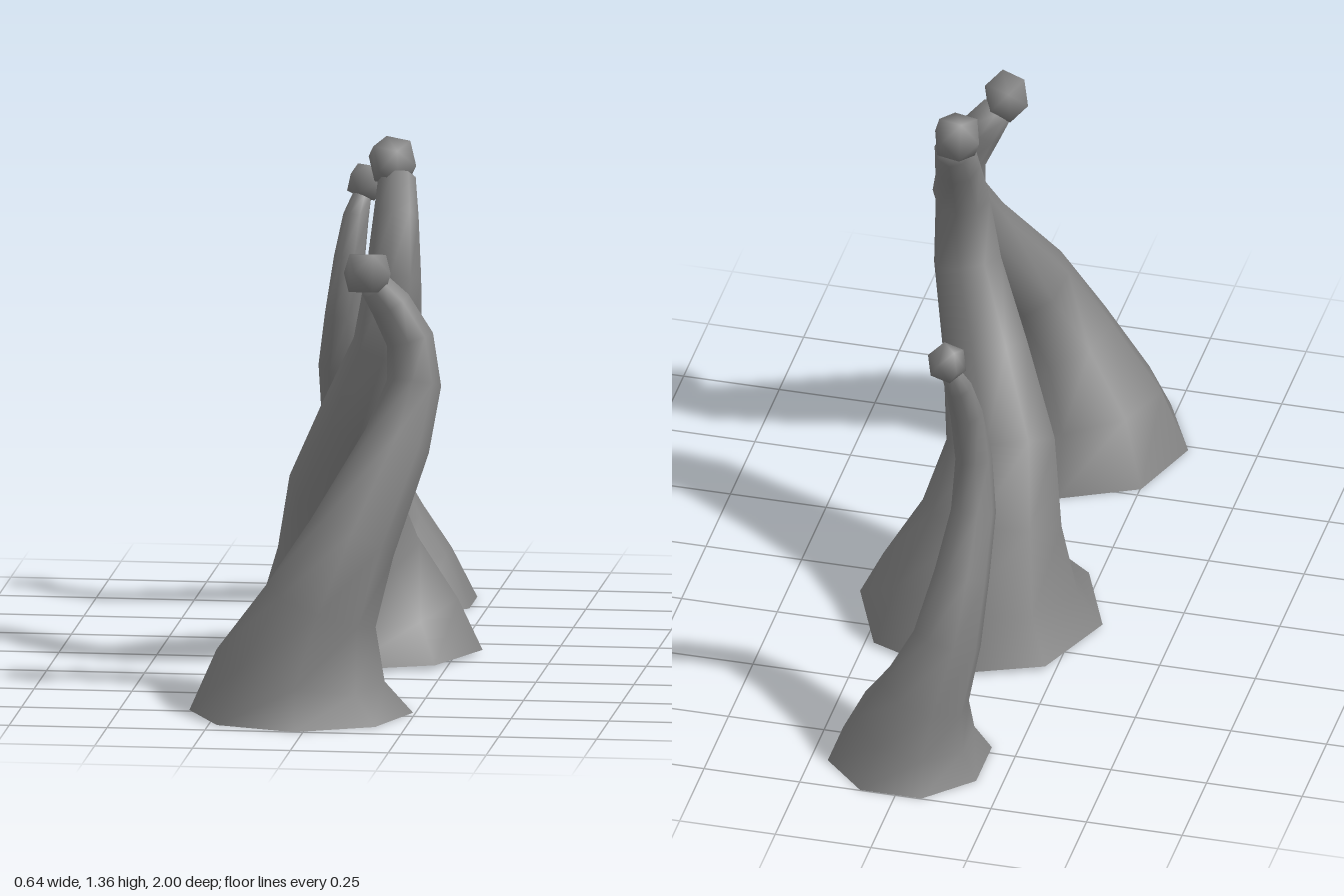
import * as THREE from 'three';
import { ConvexGeometry } from 'three/addons/geometries/ConvexGeometry.js';

const SIDES = 8;
const UP = new THREE.Vector3(0, 1, 0);

// Each ring is [x, y, z, radius], from the open base to the tip
const HORNS = [
  {
    name: 'frontTentacle', turn: 0.06,
    rings: [
      [-0.04, 0, 0.717, 0.284], [-0.04, 0.12, 0.727, 0.217], [0.015, 0.28, 0.745, 0.148],
      [0.09, 0.45, 0.72, 0.115], [0.19, 0.68, 0.6, 0.086], [0.226, 0.82, 0.54, 0.069],
      [0.214, 0.93, 0.53, 0.061], [0.165, 1.02, 0.535, 0.053], [0.13, 1.07, 0.555, 0.042],
    ],
    ball: [0.11, 1.105, 0.57], ballRadius: 0.068, ballTurn: [-0.18, 0.4, 0],
  },
  {
    name: 'middleTentacle', turn: 0,
    rings: [
      [0, 0.01, -0.118, 0.317], [0, 0.12, -0.125, 0.255], [-0.02, 0.28, -0.085, 0.182],
      [-0.02, 0.45, 0, 0.142], [0.045, 0.65, 0.1, 0.113], [0.115, 0.85, 0.192, 0.089],
      [0.13, 1.03, 0.203, 0.071], [0.128, 1.17, 0.137, 0.058], [0.122, 1.258, 0.07, 0.048],
    ],
    ball: [0.11, 1.3, 0.065], ballRadius: 0.069, ballTurn: [0.25, 0.4, 0],
  },
  {
    name: 'rearTentacle', turn: Math.PI / 8,
    rings: [
      [0.012, 0, -0.804, 0.21], [0, 0.1, -0.81, 0.158], [-0.03, 0.2, -0.81, 0.118],
      [-0.08, 0.35, -0.78, 0.09], [-0.1, 0.5, -0.71, 0.072], [-0.112, 0.65, -0.637, 0.058],
      [-0.1, 0.78, -0.588, 0.047], [-0.085, 0.92, -0.605, 0.041], [-0.073, 1.02, -0.64, 0.034],
      [-0.06, 1.07, -0.66, 0.025],
    ],
    ball: [-0.05, 1.105, -0.665], ballRadius: 0.053, ballTurn: [-0.4, 0, -0.33],
  },
];

// Skin of rings set square to the path, open below and closed at the tip
function tentacleGeometry(rings, turn) {
  const centres = rings.map(([x, y, z]) => new THREE.Vector3(x, y, z));
  const last = rings.length - 1;
  const positions = [];
  const index = [];
  rings.forEach(([, , , r], i) => {
    const tangent = centres[Math.min(i + 1, last)].clone().sub(centres[Math.max(i - 1, 0)]).normalize();
    if (i === 0) tangent.copy(UP);
    const tilt = new THREE.Quaternion().setFromUnitVectors(UP, tangent);
    for (let j = 0; j < SIDES; j++) {
      const a = turn + (j / SIDES) * Math.PI * 2;
      const p = new THREE.Vector3(Math.sin(a) * r, 0, Math.cos(a) * r);
      p.applyQuaternion(tilt).add(centres[i]);
      positions.push(p.x, p.y, p.z);
    }
  });
  const tip = positions.length / 3;
  positions.push(...centres[last].toArray());
  for (let j = 0; j < SIDES; j++) {
    const k = (j + 1) % SIDES;
    for (let i = 0; i < last; i++) {
      const a = i * SIDES + j, b = i * SIDES + k;
      index.push(a, b, b + SIDES, a, b + SIDES, a + SIDES);
    }
    index.push(last * SIDES + j, last * SIDES + k, tip);
  }
  const geometry = new THREE.BufferGeometry();
  geometry.setAttribute('position', new THREE.Float32BufferAttribute(positions, 3));
  geometry.setIndex(index);
  geometry.computeVertexNormals();
  return geometry;
}

// Cube with its corners cut to the edge midpoints, radius 1, shaded smooth
function ballGeometry() {
  const points = [];
  const s = Math.SQRT1_2;
  for (const a of [-s, s]) {
    for (const b of [-s, s]) {
      points.push(new THREE.Vector3(a, b, 0), new THREE.Vector3(a, 0, b), new THREE.Vector3(0, a, b));
    }
  }
  const geometry = new ConvexGeometry(points);
  geometry.setAttribute('normal', geometry.getAttribute('position').clone());
  return geometry;
}

export function createModel() {
  const model = new THREE.Group();
  model.name = 'tentacles';
  const skin = new THREE.MeshStandardMaterial({ color: 0x828282, side: THREE.DoubleSide });
  const knob = new THREE.MeshStandardMaterial({ color: 0x828282 });
  const ballShape = ballGeometry();

  for (const { name, turn, rings, ball, ballRadius, ballTurn } of HORNS) {
    const group = new THREE.Group();
    group.name = name;

    const body = new THREE.Mesh(tentacleGeometry(rings, turn), skin);
    body.name = 'body';

    // Coarse ball on the tip
    const tipBall = new THREE.Mesh(ballShape, knob);
    tipBall.name = 'tipBall';
    tipBall.position.set(...ball);
    tipBall.rotation.set(...ballTurn);
    tipBall.scale.setScalar(ballRadius);

    group.add(body, tipBall);
    model.add(group);
  }
  return model;
}
